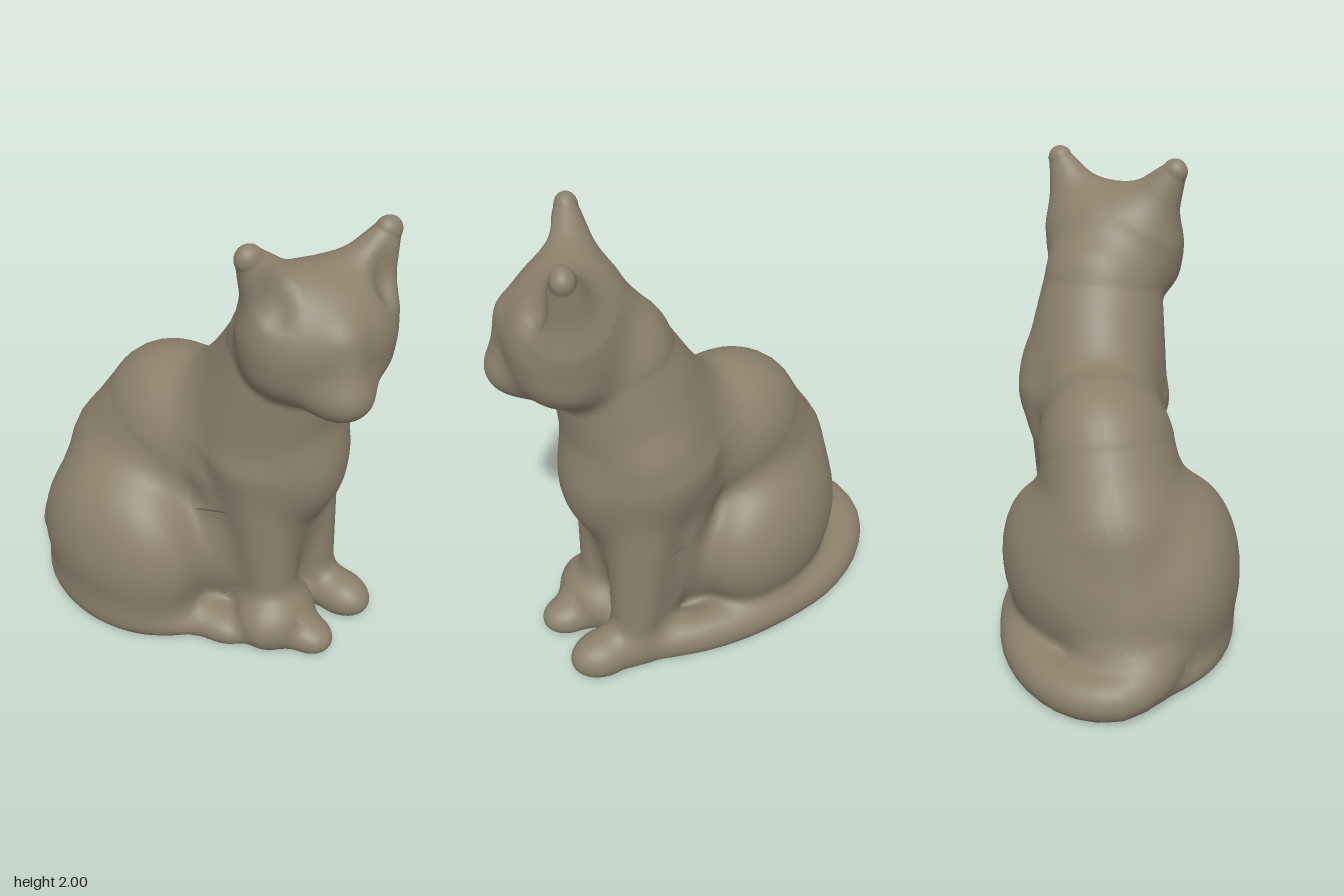
import * as THREE from 'three';

const UP = new THREE.Vector3(0, 1, 0);
const V = (a) => new THREE.Vector3(...a);
const clamp = THREE.MathUtils.clamp;
const lerp = THREE.MathUtils.lerp;
const yawTurn = (deg) => new THREE.Quaternion().setFromAxisAngle(UP, THREE.MathUtils.degToRad(deg));

// Egg-shaped form: centre, radii, blend width, turn.
function egg(name, centre, r, k = 0.06, q = new THREE.Quaternion()) {
  const c = V(centre), inv = q.clone().invert(), t = new THREE.Vector3();
  return {
    name, k,
    field(p) {
      t.copy(p).sub(c).applyQuaternion(inv);
      const x = t.x / r[0], y = t.y / r[1], z = t.z / r[2];
      const k0 = Math.hypot(x, y, z);
      const k1 = Math.hypot(x / r[0], y / r[1], z / r[2]) || 1e-6;
      return k0 * (k0 - 1) / k1;
    },
    geometry() {
      return new THREE.SphereGeometry(1, 48, 36).scale(...r).applyQuaternion(q).translate(...centre);
    },
  };
}

// Tapered limb from start (radius ra) to end (radius rb), squashed by sx and sz in a frame turned by turn.
function limb(name, start, end, ra, rb, k = 0.06, { sx = 1, sz = 1, turn = new THREE.Quaternion() } = {}) {
  const a = V(start), axis = V(end).sub(a), L = axis.length();
  axis.normalize().applyQuaternion(turn.clone().invert());
  const q = new THREE.Quaternion().setFromUnitVectors(UP, axis).premultiply(turn);
  const inv = q.clone().invert(), t = new THREE.Vector3(), ease = Math.sqrt(Math.min(sx, sz));
  return {
    name, k,
    field(p) {
      t.copy(p).sub(a).applyQuaternion(inv);
      const h = clamp(t.y / L, 0, 1);
      return (Math.hypot(t.x / sx, t.y - h * L, t.z / sz) - lerp(ra, rb, h)) * ease;
    },
    geometry() {
      const g = new THREE.CapsuleGeometry(1, 1, 10, 36, 20), pos = g.attributes.position;
      for (let i = 0; i < pos.count; i++) {
        const y = pos.getY(i), cy = clamp(y, -0.5, 0.5), h = cy + 0.5, r = lerp(ra, rb, h);
        pos.setXYZ(i, pos.getX(i) * r * sx, h * L + (y - cy) * r, pos.getZ(i) * r * sz);
      }
      return g.applyQuaternion(q).translate(a.x, a.y, a.z);
    },
  };
}

// Even tube along a smooth path; its ends are buried in other parts.
function tube(name, points, r, k) {
  const curve = new THREE.CatmullRomCurve3(points.map(V));
  const stops = curve.getSpacedPoints(24).map((p) => p.toArray());
  const pieces = stops.slice(1).map((p, i) => limb(name, stops[i], p, r, r));
  return {
    name, k,
    field: (p) => Math.min(...pieces.map((piece) => piece.field(p))),
    geometry: () => new THREE.TubeGeometry(curve, 72, r, 28),
  };
}

// Smooth union of two distances.
function blend(a, b, k) {
  const h = Math.max(k - Math.abs(a - b), 0) / k;
  return Math.min(a, b) - h * h * k * 0.25;
}

// Moves the vertices of a part onto the blended skin and takes normals from it.
function fitToSkin(geometry, skin) {
  const pos = geometry.attributes.position, nor = geometry.attributes.normal;
  const p = new THREE.Vector3(), s = new THREE.Vector3(), g = new THREE.Vector3(), e = 0.002;
  const slope = (f) => g.set(
    skin(s.set(p.x + e, p.y, p.z)) - f,
    skin(s.set(p.x, p.y + e, p.z)) - f,
    skin(s.set(p.x, p.y, p.z + e)) - f).divideScalar(e);
  for (let i = 0; i < pos.count; i++) {
    p.fromBufferAttribute(pos, i);
    let f = skin(p);
    if (f < -0.1) {
      // deep inside another part: stays hidden
      pos.setY(i, Math.max(p.y, 0));
      if (p.y < 0) nor.setXYZ(i, 0, -1, 0);
      continue;
    }
    for (let n = 0; n < 6 && Math.abs(f) > 0.0005; n++) {
      slope(f);
      p.addScaledVector(g, -f / Math.max(g.lengthSq(), 0.5));
      f = skin(p);
    }
    slope(f).normalize();
    if (p.y < 0) {
      p.y = 0;
      g.set(0, -1, 0);
    }
    pos.setXYZ(i, p.x, p.y, p.z);
    nor.setXYZ(i, g.x, g.y, g.z);
  }
  return geometry;
}

export function createModel() {
  const model = new THREE.Group();
  model.name = 'sittingCat';
  const clay = new THREE.MeshStandardMaterial({ color: 0x8b806b });
  clay.name = 'clay';

  // Body, haunches and front legs
  const body = [
    limb('lowerBack', [-0.05, 0.3, -0.335], [0, 0.6, -0.25], 0.375, 0.39, 0.05, { sx: 0.82 }),
    limb('upperBack', [0, 0.6, -0.25], [0.05, 0.87, -0.12], 0.39, 0.355, 0.02, { sx: 0.82 }),
    egg('belly', [0.08, 0.4, 0.13], [0.27, 0.42, 0.31], 0.08),
    limb('neck', [0.15, 0.98, 0.32], [0.11, 1.45, 0.43], 0.32, 0.25, 0.1, { sx: 1.06 }),
    limb('withers', [0.08, 0.88, 0], [0.12, 1.27, 0.31], 0.24, 0.22, 0.08),
    egg('chest', [0.14, 0.9, 0.42], [0.26, 0.34, 0.26], 0.05),
    limb('brisket', [0.14, 0.8, 0.39], [0.16, 0.25, 0.36], 0.22, 0.13, 0.05),
    egg('base', [-0.02, 0.06, -0.19], [0.47, 0.15, 0.56], 0.06),
    egg('rightHaunch', [-0.265, 0.34, -0.18], [0.265, 0.42, 0.42], 0.12),
    egg('leftHaunch', [0.235, 0.39, -0.25], [0.245, 0.37, 0.41], 0.1, yawTurn(25)),
    limb('leftElbow', [0.25, 0.8, 0.21], [0.28, 0.2, 0.35], 0.16, 0.1, 0.08),
    limb('rightElbow', [-0.01, 0.8, 0.21], [0.01, 0.2, 0.35], 0.16, 0.1, 0.06),
    limb('leftFrontLeg', [0.28, 1.06, 0.36], [0.32, 0.1, 0.47], 0.185, 0.1, 0.06),
    limb('rightFrontLeg', [0.0, 0.9, 0.37], [0.02, 0.1, 0.47], 0.185, 0.105, 0.05),
    egg('leftFrontPaw', [0.33, 0.075, 0.62], [0.11, 0.1, 0.155], 0.08),
    egg('rightFrontFoot', [0.0, 0.11, 0.5], [0.2, 0.155, 0.165], 0.05),
    egg('rightFrontPaw', [0.03, 0.06, 0.65], [0.1, 0.08, 0.13], 0.05),
    egg('rightHindPaw', [-0.17, 0.06, 0.3], [0.1, 0.08, 0.17], 0.05),
  ];

  // Tail wrapped around the left side
  const tail = [
    egg('tailRoot', [-0.06, 0.17, -0.62], [0.2, 0.12, 0.14], 0.08),
    tube('tail', [
      [-0.2, 0.16, -0.55], [-0.15, 0.12, -0.7], [-0.04, 0.095, -0.78], [0.12, 0.085, -0.76], [0.27, 0.08, -0.64],
      [0.38, 0.075, -0.45], [0.43, 0.075, -0.22], [0.435, 0.065, 0], [0.405, 0.06, 0.22], [0.33, 0.055, 0.46],
    ], 0.095, 0.07),
  ];

  // Head, turned a little to its right
  const turn = yawTurn(-25), headAt = V([0.07, 1.58, 0.55]);
  const inHead = (x, y, z) => V([x, y, z]).applyQuaternion(turn).add(headAt).toArray();
  const head = [
    egg('skull', inHead(0.01, 0, 0.02), [0.325, 0.28, 0.265], 0.05, turn),
    egg('cheeks', inHead(0.015, -0.1, 0.03), [0.3, 0.175, 0.23], 0.04, turn),
    egg('muzzle', inHead(0.01, -0.17, 0.215), [0.13, 0.105, 0.14], 0.08, turn),
    limb('noseBridge', inHead(0, 0.06, 0.23), inHead(0, -0.12, 0.27), 0.06, 0.055, 0.08),
  ];
  const earHollows = [];
  for (const side of [1, -1]) {
    const root = inHead(side * 0.165 + 0.015, 0.15, 0.01), tip = inHead(side * 0.29, 0.36, 0.02);
    head.push(limb(side > 0 ? 'leftEar' : 'rightEar', root, tip, 0.16, 0.056, 0.08, { sz: 0.85, turn }));
    earHollows.push(egg('earHollow', inHead(side * 0.235, 0.24, 0.145), [0.05, 0.1, 0.06], 0.06, turn));
  }

  const all = [...body, ...tail, ...head];
  const skin = (p) => {
    let d = 10;
    for (const part of all) d = blend(d, part.field(p), part.k);
    for (const hollow of earHollows) d = -blend(-d, hollow.field(p), hollow.k);
    return d;
  };

  for (const [name, parts] of Object.entries({ body, tail, head })) {
    const group = new THREE.Group();
    group.name = name + 'Group';
    for (const part of parts) {
      const mesh = new THREE.Mesh(fitToSkin(part.geometry(), skin), clay);
      mesh.name = part.name;
      group.add(mesh);
    }
    model.add(group);
  }
  return model;
}
